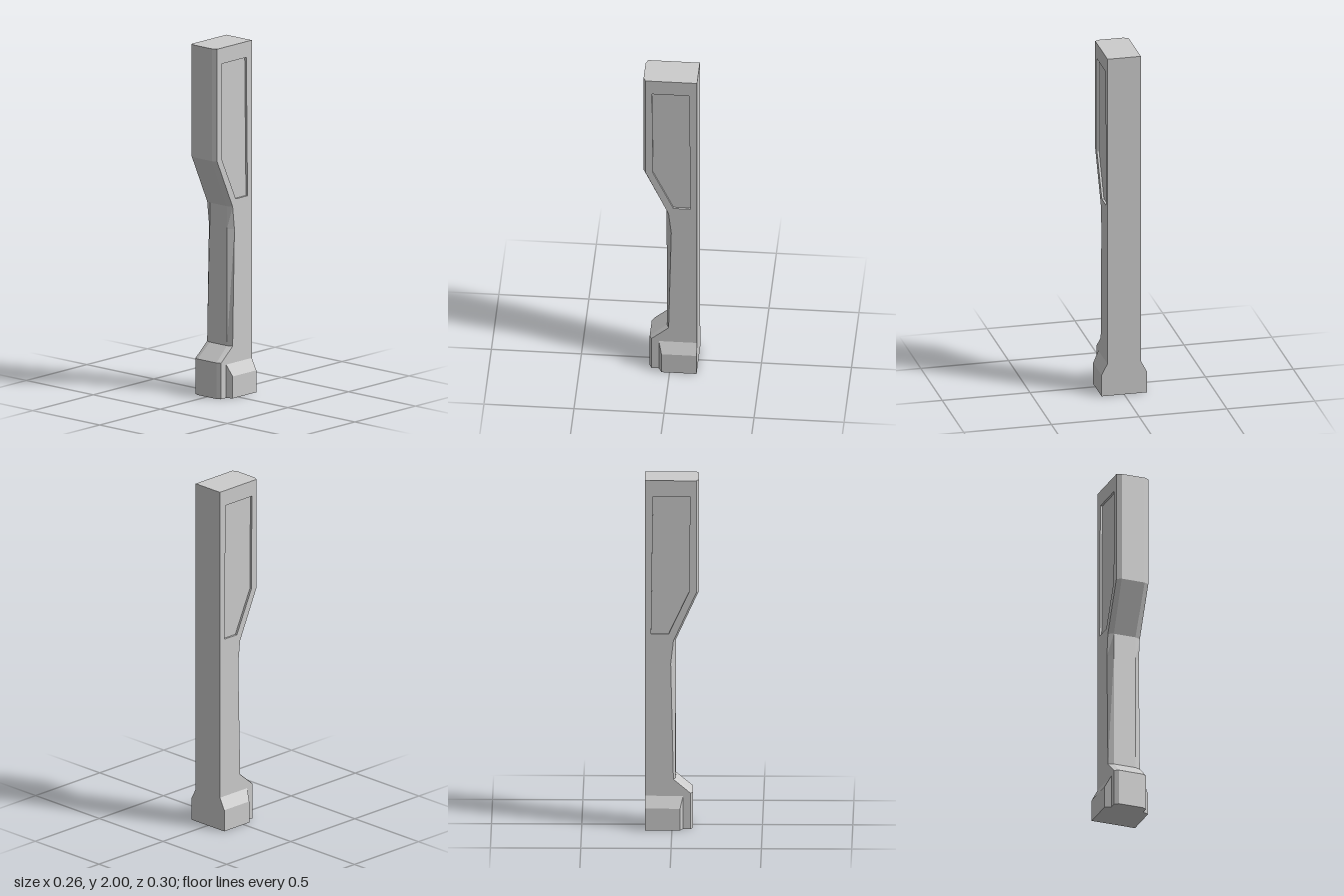
import * as THREE from 'three';
import { ConvexGeometry } from 'three/addons/geometries/ConvexGeometry.js';

const HALF = 0.095;   // half width of the post
const BACK = -0.15;
const RECESS = 0.012; // depth of the side panels

// Front profile, bottom to top: y, z of the side edge, z of the front face, half width of the front face
const PROFILE = [
  [0, 0.103, 0.115, 0.07],
  [0.205, 0.103, 0.115, 0.07],
  [0.285, 0.008, 0.02, 0.064],
  [0.95, -0.007, 0.021, 0.064],
  [1.08, 0.008, 0.021, 0.064],
  [1.36, 0.136, 0.149, 0.068],
  [2, 0.136, 0.149, 0.068],
];

// Outline of the sunken side panel as [z, y]
const PANEL = [[0.1, 1.91], [-0.105, 1.91], [-0.115, 1.12], [-0.018, 1.12], [0.095, 1.36]];

export function createModel() {
  const group = new THREE.Group();
  const material = new THREE.MeshStandardMaterial({ color: 0xcccccc, flatShading: true });

  function add(name, geometry) {
    const mesh = new THREE.Mesh(geometry, material);
    mesh.name = name;
    group.add(mesh);
  }

  // Band of quads from polyline a (left) to polyline b (right)
  function strip(name, a, b) {
    const p = [];
    for (let i = 0; i < a.length - 1; i++) {
      p.push(...a[i], ...b[i], ...b[i + 1], ...a[i], ...b[i + 1], ...a[i + 1]);
    }
    const geometry = new THREE.BufferGeometry();
    geometry.setAttribute('position', new THREE.Float32BufferAttribute(p, 3));
    geometry.computeVertexNormals();
    add(name, geometry);
  }

  const sideEdge = s => PROFILE.map(([y, z]) => [s * HALF, y, z]);
  const frontEdge = s => PROFILE.map(([y, , z, w]) => [s * w, y, z]);
  const backEdge = s => [[s * HALF, 0, BACK], [s * HALF, 2, BACK]];

  // Front face with its chamfers, and the back
  strip('frontFace', frontEdge(-1), frontEdge(1));
  strip('rightChamfer', sideEdge(-1), frontEdge(-1));
  strip('leftChamfer', frontEdge(1), sideEdge(1));
  strip('backFace', backEdge(1), backEdge(-1));

  // End caps
  const capEdge = (s, [y, zSide, zFront, w]) =>
    [[s * w, y, zFront], [s * HALF, y, zSide], [s * HALF, y, BACK]];
  const top = PROFILE[PROFILE.length - 1];
  strip('topCap', capEdge(-1, top), capEdge(1, top));
  strip('bottomCap', capEdge(-1, PROFILE[0]).reverse(), capEdge(1, PROFILE[0]).reverse());

  for (const s of [-1, 1]) {
    const side = s > 0 ? 'left' : 'right';
    const flat = points => points.map(([z, y]) => new THREE.Vector2(-s * z, y));
    const place = (shape, x) =>
      new THREE.ShapeGeometry(shape).rotateY(s * Math.PI / 2).translate(s * x, 0, 0);

    // Side wall with the panel cut out
    const outline = PROFILE.map(([y, z]) => [z, y]);
    const wall = new THREE.Shape(flat([...outline, [BACK, 2], [BACK, 0]]));
    wall.holes.push(new THREE.Path(flat(PANEL)));
    add(side + 'Wall', place(wall, HALF));

    // Sunken panel and its rim
    add(side + 'Panel', place(new THREE.Shape(flat(PANEL)), HALF - RECESS));
    const loop = [...PANEL, PANEL[0]];
    const outer = loop.map(([z, y]) => [s * HALF, y, z]);
    const inner = loop.map(([z, y]) => [s * (HALF - RECESS), y, z]);
    if (s > 0) strip(side + 'PanelRim', outer, inner);
    else strip(side + 'PanelRim', inner, outer);

    // Flared foot block
    const foot = [];
    for (const [x, y, z] of [[HALF, 0, 0.062], [HALF, 0.19, 0.062], [0.129, 0, 0.045], [0.129, 0.125, 0.045]]) {
      foot.push(new THREE.Vector3(s * x, y, z), new THREE.Vector3(s * x, y, BACK));
    }
    add(side + 'Foot', new ConvexGeometry(foot));
  }
  return group;
}
